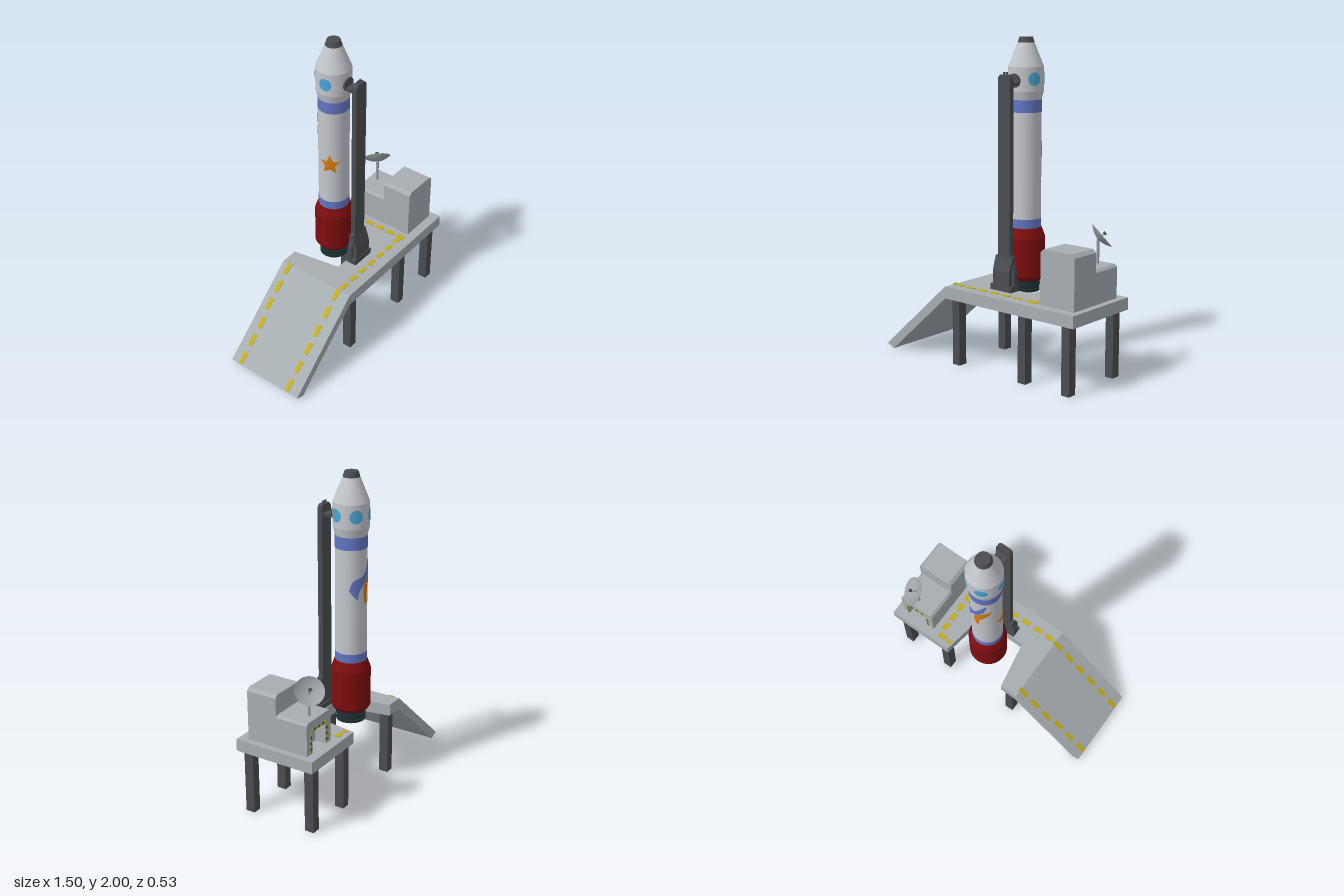
import * as THREE from 'three';

const mat = (name, color, side = THREE.FrontSide) => {
  const m = new THREE.MeshStandardMaterial({ color, side });
  m.name = name;
  return m;
};

export function createModel() {
  const M = {
    white: mat('hull white', 0xc4c7cc),
    grey: mat('platform grey', 0xa6adb1),
    dark: mat('dark steel', 0x4a4d51),
    red: mat('booster red', 0x7f0d0f),
    blue: mat('stripe blue', 0x6276c4, THREE.DoubleSide),
    cyan: mat('window cyan', 0x4aa6d6, THREE.DoubleSide),
    orange: mat('emblem orange', 0xd9790f, THREE.DoubleSide),
    yellow: mat('marking yellow', 0xbfaa1e),
    nozzle: mat('nozzle teal', 0x1c3032),
    dish: mat('dish grey', 0x9ea2a6, THREE.DoubleSide),
  };
  const model = new THREE.Group();
  model.name = 'launchPad';

  const add = (parent, name, geo, material, x = 0, y = 0, z = 0) => {
    const m = new THREE.Mesh(geo, material);
    m.name = name;
    m.position.set(x, y, z);
    parent.add(m);
    return m;
  };
  // box given by its limits
  const box = (parent, name, material, x0, x1, y0, y1, z0, z1) =>
    add(parent, name, new THREE.BoxGeometry(x1 - x0, y1 - y0, z1 - z0), material,
      (x0 + x1) / 2, (y0 + y1) / 2, (z0 + z1) / 2);
  // outline in x,y pushed along z
  const slab = (parent, name, material, pts, z0, z1) =>
    add(parent, name, new THREE.ExtrudeGeometry(
      new THREE.Shape(pts.map(p => new THREE.Vector2(...p))),
      { depth: z1 - z0, bevelEnabled: false }), material, 0, 0, z0);

  // ---- platform with a notch, and ramp
  const deckOutline = [[-0.235, -0.265], [0.75, -0.265], [0.75, 0.265], [0.31, 0.265],
    [0.26, -0.045], [-0.065, -0.045], [-0.12, 0.265], [-0.235, 0.265]];
  const deck = slab(model, 'deck', M.grey, deckOutline, 0, 0.075);
  deck.rotation.x = -Math.PI / 2;
  deck.position.set(0, 0.415, 0);
  slab(model, 'ramp', M.grey,
    [[-0.235, 0.49], [-0.755, 0.025], [-0.7, 0], [-0.235, 0.415]], -0.265, 0.265);

  // ---- six legs
  for (const x of [-0.167, 0.357, 0.68])
    for (const z of [-0.212, 0.212])
      box(model, 'leg', M.dark, x - 0.028, x + 0.028, 0, 0.416, z - 0.03, z + 0.03);

  // ---- dashed yellow markings
  const dash = (x, z, lx, lz) =>
    box(model, 'deckDash', M.yellow, x - lx / 2, x + lx / 2, 0.489, 0.493, z - lz / 2, z + lz / 2);
  for (let i = 0; i < 7; i++) dash(-0.185 + i * 0.093, 0.185, 0.058, 0.03);
  for (let i = 0; i < 5; i++) dash(0.411, -0.145 + i * 0.082, 0.034, 0.055);
  dash(0.328, -0.217, 0.03, 0.028);
  dash(0.388, -0.213, 0.055, 0.032);
  const slope = Math.atan2(0.465, 0.52);
  for (let i = 0; i < 6; i++) {
    const t = 0.045 + i * 0.178;
    for (const z of [0.178, -0.197 - (i < 3 ? 0.013 : 0)]) {
      const d = add(model, 'rampDash', new THREE.BoxGeometry(0.078, 0.005, 0.03), M.yellow,
        -0.235 - 0.52 * t, 0.491 - 0.465 * t, z);
      d.rotation.z = slope;
    }
  }

  // ---- rocket
  const rocket = new THREE.Group();
  rocket.name = 'rocket';
  rocket.position.set(0.09, 0, -0.11);
  model.add(rocket);
  const R = 0.095;
  const ring = (name, material, y0, r0, y1, r1) =>
    add(rocket, name, new THREE.CylinderGeometry(r1, r0, y1 - y0, 32), material, 0, (y0 + y1) / 2, 0);
  ring('noseCap', M.dark, 1.967, 0.05, 2.0, 0.04);
  ring('noseCone', M.white, 1.825, 0.107, 1.967, 0.05);
  ring('cabin', M.white, 1.68, 0.107, 1.825, 0.107);
  ring('cabinTaper', M.white, 1.63, R, 1.68, 0.107);
  ring('upperBand', M.blue, 1.555, R + 0.001, 1.63, R + 0.001);
  ring('body', M.white, 0.91, R, 1.555, R);
  ring('lowerBand', M.blue, 0.855, R + 0.001, 0.91, R + 0.001);
  ring('boosterShoulder', M.red, 0.795, 0.12, 0.855, 0.098);
  ring('booster', M.red, 0.555, 0.12, 0.795, 0.12);
  ring('boosterBase', M.red, 0.532, 0.105, 0.555, 0.12);
  // ribbed engine nozzle
  ring('engine', M.nozzle, 0.455, 0.078, 0.535, 0.078);
  for (const y of [0.465, 0.495, 0.52]) ring('engineRib', M.nozzle, y - 0.008, 0.09, y + 0.008, 0.09);

  // thin painted patch wrapped on a cylinder: fn(u, v) gives [degrees, y]
  const wrap = (name, material, r, nu, nv, fn) => {
    const pos = [], idx = [];
    for (let i = 0; i <= nu; i++)
      for (let j = 0; j <= nv; j++) {
        const [deg, y] = fn(i / nu, j / nv);
        const a = THREE.MathUtils.degToRad(deg);
        pos.push(r * Math.cos(a), y, r * Math.sin(a));
        if (i < nu && j < nv) {
          const k = i * (nv + 1) + j, n = k + nv + 1;
          idx.push(k, k + 1, n, n, k + 1, n + 1);
        }
      }
    const g = new THREE.BufferGeometry();
    g.setAttribute('position', new THREE.Float32BufferAttribute(pos, 3));
    g.setIndex(idx);
    g.computeVertexNormals();
    add(rocket, name, g, material);
  };
  const polar = (name, material, r, deg, y, n, radius) =>
    wrap(name, material, r, n, 5, (u, v) => {
      const t = u * Math.PI * 2, q = v * radius(Math.round(u * n));
      return [deg + THREE.MathUtils.radToDeg(q * Math.sin(t) / r), y + q * Math.cos(t)];
    });
  const swoosh = (name, material, top, bottom) => {
    const [a, b] = [top, bottom].map(e => new THREE.SplineCurve(e.map(p => new THREE.Vector2(...p))));
    wrap(name, material, R + 0.002, 24, 5, (u, v) => a.getPoint(u).lerp(b.getPoint(u), v).toArray());
  };
  for (const deg of [22, -47, -115, 170]) polar('window', M.cyan, 0.109, deg, 1.755, 24, () => 0.04);
  polar('star', M.orange, R + 0.002, 157, 1.19, 10, k => (k % 2 ? 0.033 : 0.072));
  swoosh('blueSwoosh', M.blue,
    [[232, 1.53], [250, 1.48], [280, 1.4], [320, 1.37], [336, 1.31]],
    [[230, 1.51], [242, 1.43], [265, 1.37], [295, 1.31], [305, 1.25]]);
  swoosh('orangeSwoosh', M.orange,
    [[213, 1.44], [230, 1.42], [258, 1.38], [280, 1.32], [275, 1.22]],
    [[213, 1.43], [225, 1.38], [245, 1.33], [260, 1.28], [258, 1.22]]);

  // ---- service tower with flared foot, arm and hatch
  const half = [[0.08, 0.525], [0.08, 0.61], [0.047, 0.71], [0.047, 1.765], [0.03, 1.785]];
  const outline = [...half, ...half.map(([x, y]) => [-x, y]).reverse()];
  slab(model, 'towerMast', M.dark, outline.map(([x, y]) => [x + 0.09, y]), 0.06, 0.092);
  box(model, 'towerBase', M.dark, 0.01, 0.172, 0.489, 0.527, 0.052, 0.122);
  const foot = slab(model, 'towerFoot', M.dark, [[-0.118, 0.52], [-0.06, 0.52], [-0.06, 0.7], [-0.09, 0.7], [-0.118, 0.61]], 0, 0.13);
  foot.rotation.y = Math.PI / 2;
  foot.position.x = 0.025;
  box(model, 'towerArm', M.dark, 0.055, 0.125, 1.718, 1.736, -0.01, 0.07);
  const hatch = add(model, 'hatch', new THREE.CylinderGeometry(0.042, 0.042, 0.012, 24), M.dark, 0.09, 1.745, -0.003);
  hatch.rotation.x = Math.PI / 2;
  for (const x of [0.08, 0.1]) box(model, 'towerLamp', M.dark, x - 0.005, x + 0.005, 1.78, 1.8, 0.07, 0.08);

  // ---- control building: tall hall and low garage with a recessed door
  const chamfered = (x0, x1, y0, y1, c) =>
    [[x0, y0], [x1, y0], [x1, y1 - c], [x1 - c, y1], [x0 + c, y1], [x0, y1 - c]];
  slab(model, 'controlHall', M.grey, chamfered(0.465, 0.71, 0.489, 0.82, 0.02), 0.005, 0.205);
  slab(model, 'garageRear', M.grey, chamfered(0.465, 0.71, 0.489, 0.695, 0.015), -0.13, 0.01);
  slab(model, 'garageFront', M.grey, [[0.465, 0.489], [0.515, 0.489], [0.515, 0.61], [0.53, 0.63],
    [0.645, 0.63], [0.66, 0.61], [0.66, 0.489], [0.71, 0.489], [0.71, 0.68], [0.695, 0.695],
    [0.48, 0.695], [0.465, 0.68]], -0.205, -0.13);
  // striped door frame
  for (let i = 0; i < 7; i++) {
    const m = i % 2 ? M.dark : M.yellow, y = 0.492 + i * 0.0185;
    for (const x of [0.503, 0.66]) box(model, 'doorStripe', m, x, x + 0.012, y, y + 0.0185, -0.208, -0.204);
    const x = 0.515 + i * 0.0207;
    box(model, 'doorStripe', m, x, x + 0.0207, 0.628, 0.641, -0.208, -0.204);
  }

  // ---- dish antenna on a mast
  add(model, 'dishMast', new THREE.CylinderGeometry(0.009, 0.009, 0.15, 12), M.dish, 0.607, 0.765, -0.153);
  const dish = new THREE.Group();
  dish.name = 'dishAntenna';
  dish.position.set(0.607, 0.838, -0.153);
  dish.quaternion.setFromUnitVectors(new THREE.Vector3(0, 1, 0), new THREE.Vector3(0.53, 0.66, -0.53).normalize());
  model.add(dish);
  const bowl = [0, 0.02, 0.04, 0.06, 0.075, 0.088].map(r => new THREE.Vector2(r, 4.2 * r * r));
  add(dish, 'dishBowl', new THREE.LatheGeometry(bowl, 28), M.dish);
  add(dish, 'dishFeedRod', new THREE.CylinderGeometry(0.004, 0.004, 0.05, 8), M.dish, 0, 0.025, 0);
  add(dish, 'dishFeed', new THREE.CylinderGeometry(0.012, 0.008, 0.014, 12), M.dark, 0, 0.052, 0);

  return model;
}
